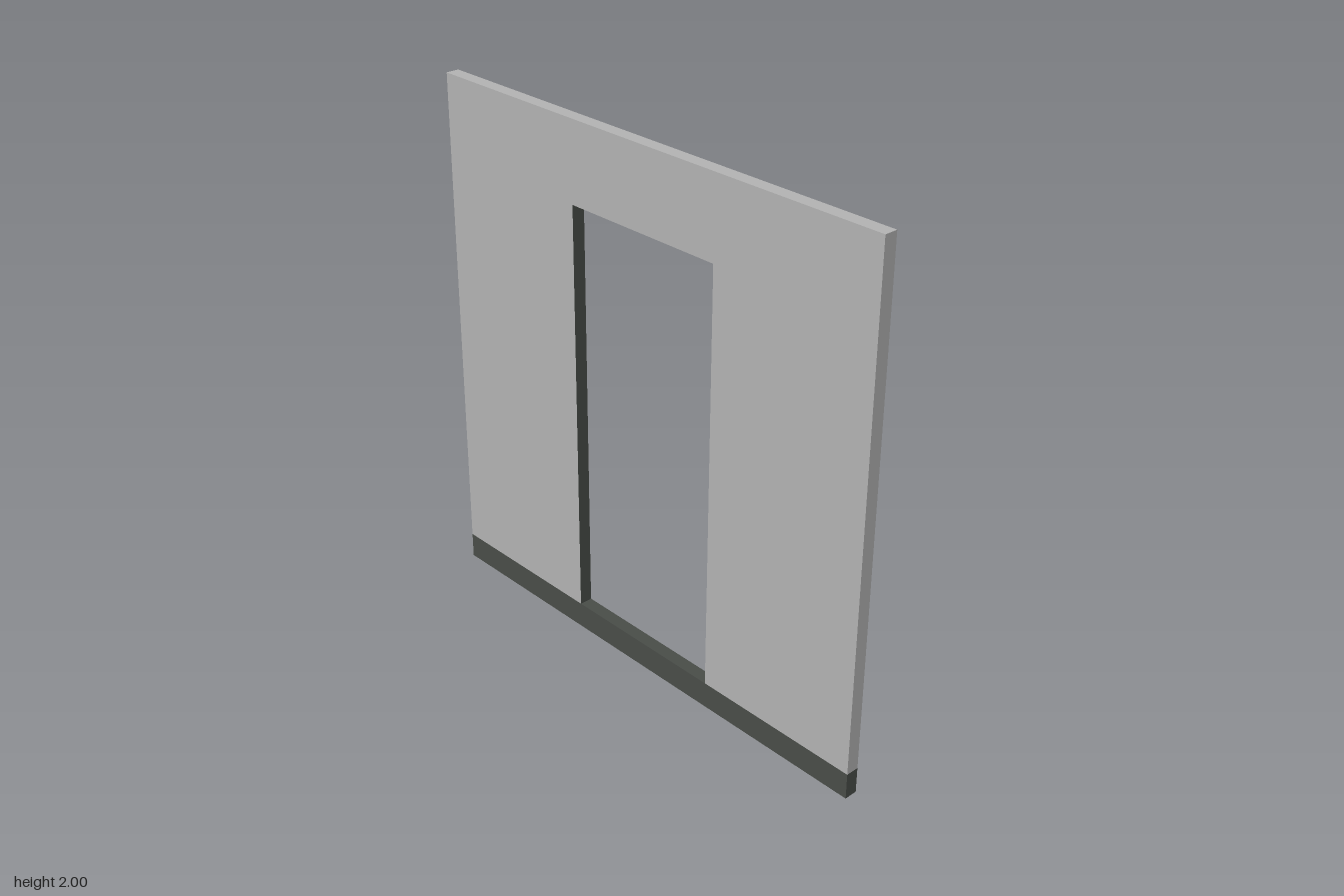
import * as THREE from 'three';

const T = 0.05;      // wall thickness
const W = 2, H = 2;  // wall width and height
const BASE = 0.1;    // skirting height, also the door sill
const DW = 0.667, DTOP = 1.7; // doorway width and top

export function createModel() {
  const group = new THREE.Group();
  const dark = new THREE.MeshStandardMaterial({ color: 0x4a4e49 });
  dark.name = 'darkGreenGrey';
  const light = new THREE.MeshStandardMaterial({ color: 0xb5b5b5 });
  light.name = 'lightGrey';

  const add = (name, geometry, material, pos, rx = 0, ry = 0) => {
    const mesh = new THREE.Mesh(geometry, material);
    mesh.name = name;
    mesh.position.set(...pos);
    mesh.rotation.set(rx, ry, 0);
    group.add(mesh);
  };
  const plane = (w, h) => new THREE.PlaneGeometry(w, h);
  const polygon = (points) => points.map(([x, y]) => new THREE.Vector2(x, y));
  const q = Math.PI / 2, d = DW / 2, w = W / 2, t = T / 2;

  // Outer wall face with the doorway cut out
  const outer = new THREE.Shape(polygon([[-w, 0], [w, 0], [w, H], [-w, H]]));
  outer.holes.push(new THREE.Path(polygon([[-d, BASE], [-d, DTOP], [d, DTOP], [d, BASE]])));
  add('outerFace', new THREE.ShapeGeometry(outer), dark, [t, 0, 0], 0, q);

  // Inner wall face, notched by the doorway, above the skirting
  const inner = new THREE.Shape(polygon([
    [-w, BASE], [-d, BASE], [-d, DTOP], [d, DTOP], [d, BASE], [w, BASE], [w, H], [-w, H],
  ]));
  add('innerFace', new THREE.ShapeGeometry(inner), light, [-t, 0, 0], 0, -q);
  add('innerSkirting', plane(W, BASE), dark, [-t, BASE / 2, 0], 0, -q);

  // Wall ends and doorway jambs
  for (const s of [1, -1]) {
    const facing = s > 0 ? 0 : Math.PI;
    add('wallEnd', plane(T, H - BASE), light, [0, (H + BASE) / 2, s * w], 0, facing);
    add('skirtingEnd', plane(T, BASE), dark, [0, BASE / 2, s * w], 0, facing);
    add('doorJamb', plane(T, DTOP - BASE), dark, [0, (DTOP + BASE) / 2, -s * d], 0, facing);
  }

  // Top and bottom edges, door sill and door head
  add('topEdge', plane(T, W), light, [0, H, 0], -q);
  add('bottomEdge', plane(T, W), light, [0, 0, 0], q);
  add('doorSill', plane(T, DW), dark, [0, BASE, 0], -q);
  add('doorHead', plane(T, DW), dark, [0, DTOP, 0], q);

  return group;
}
